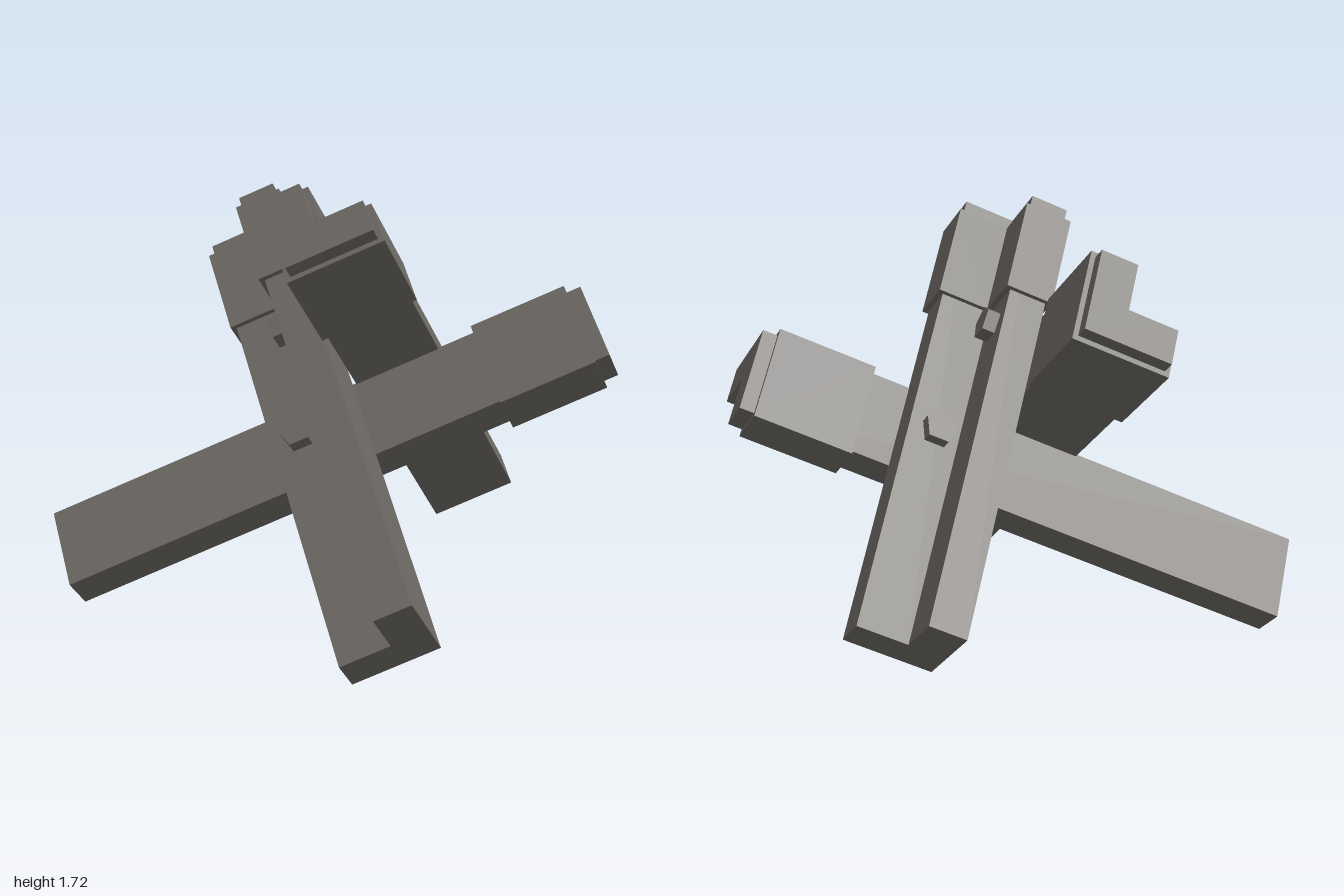
import * as THREE from 'three';

const LEG = 0.347, WALL = 0.147, LIP = 0.02;

// L-shaped steel profile with its outer corner at the origin, grown by `o` on every side
function angleBar(length, o) {
  const s = new THREE.Shape();
  s.moveTo(-o, -o);
  s.lineTo(LEG + o, -o);
  s.lineTo(LEG + o, WALL + o);
  s.lineTo(WALL + o, WALL + o);
  s.lineTo(WALL + o, LEG + o);
  s.lineTo(-o, LEG + o);
  s.closePath();
  return new THREE.ExtrudeGeometry(s, { depth: length, bevelEnabled: false });
}

export function createModel() {
  const steel = new THREE.MeshStandardMaterial({ color: 0x6b6762 });
  steel.name = 'weathered steel';

  // Three perpendicular directions that the beams follow
  const c = new THREE.Vector3(0.261, 0.607, -0.75).normalize();
  const a = new THREE.Vector3(-0.654, 0.686, 0.32);
  a.addScaledVector(c, -a.dot(c)).normalize();
  const b = new THREE.Vector3().crossVectors(c, a);
  const neg = (v) => v.clone().negate();

  const model = new THREE.Group();
  model.name = 'crossedBeamObstacle';

  function add(parent, name, geometry) {
    const mesh = new THREE.Mesh(geometry, steel);
    mesh.name = name;
    parent.add(mesh);
    return mesh;
  }

  // One angle beam: start corner in (a, b, c), profile axes u and v, running along w
  function beam(name, corner, u, v, w, length, boltU, boltV) {
    const g = new THREE.Group();
    g.name = name;
    g.quaternion.setFromRotationMatrix(new THREE.Matrix4().makeBasis(u, v, w));
    g.position.addScaledVector(a, corner[0]).addScaledVector(b, corner[1]).addScaledVector(c, corner[2]);

    add(g, name + 'Bar', angleBar(length, 0));
    // Thicker collar close to the raised end
    add(g, name + 'Collar', angleBar(0.39, LIP)).position.z = length - 0.447;

    // Bolt heads on the two inner faces
    const head = () => new THREE.CylinderGeometry(0.066, 0.066, 0.06, 5).toNonIndexed();
    const b1 = add(g, name + 'BoltOne', head());
    b1.rotation.z = -Math.PI / 2;
    b1.position.set(WALL + 0.02, 0.235, boltU);
    const b2 = add(g, name + 'BoltTwo', head());
    b2.position.set(0.235, WALL + 0.02, boltV);
    for (const m of [b1, b2]) m.geometry.computeVertexNormals();
    model.add(g);
  }

  beam('leaningBeam', [-0.497, 0.333, 0.608], b, c, a, 1.882, 1.327, 0.857);
  beam('sideBeam', [0.577, -0.977, 0.613], neg(c), neg(a), b, 2.254, 1.555, 1.062);
  beam('rearBeam', [0.568, 0.317, -0.615], neg(b), a, c, 2.055, 1.445, 0.998);
  return model;
}
